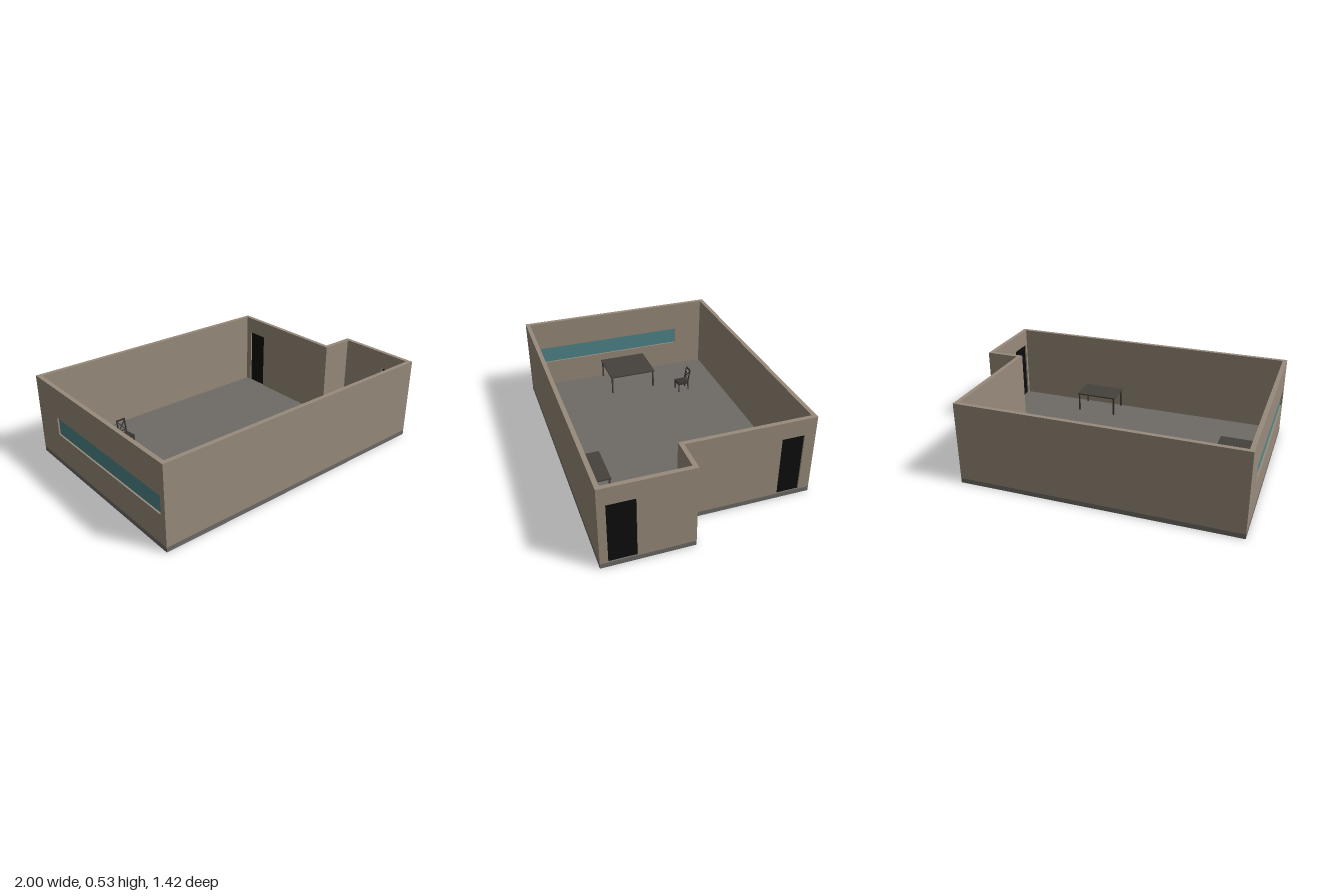
import * as THREE from 'three';

const paint = (color) => new THREE.MeshStandardMaterial({ color, flatShading: true });
const wallMat = paint(0x988b7b), floorMat = paint(0x6e6b67), doorMat = paint(0x0d0d0d);
const glassMat = paint(0x4f878b), tableMat = paint(0x45413b), chairMat = paint(0x37342f);

// Plan dimensions, measured from the rear right corner of the room
const W = 1.95, D = 1.351, NOTCH_X = 1.736, NOTCH_Z = 0.806;
const T = 0.027, FLOOR = 0.03, TOP = 0.53;

function add(parent, name, geometry, material, x = 0, y = 0, z = 0) {
  const mesh = new THREE.Mesh(geometry, material);
  mesh.name = name;
  mesh.position.set(x, y, z);
  parent.add(mesh);
  return mesh;
}

const box = (parent, name, w, h, d, material, x, y, z) =>
  add(parent, name, new THREE.BoxGeometry(w, h, d), material, x, y, z);

// Square bar between two points
function bar(parent, name, a, b, size, material) {
  const from = new THREE.Vector3(...a), to = new THREE.Vector3(...b);
  const mesh = box(parent, name, size, from.distanceTo(to), size, material);
  mesh.position.copy(from).lerp(to, 0.5);
  mesh.quaternion.setFromUnitVectors(new THREE.Vector3(0, 1, 0), to.sub(from).normalize());
  return mesh;
}

// Wall panel from s to e; door is a notch in the base, win a hole
function wallGeometry(s, e, { door, win } = {}) {
  const pts = [[s, FLOOR]];
  if (door) pts.push([door[0], FLOOR], [door[0], door[2]], [door[1], door[2]], [door[1], FLOOR]);
  pts.push([e, FLOOR], [e, TOP], [s, TOP]);
  const shape = new THREE.Shape(pts.map((p) => new THREE.Vector2(...p)));
  if (win) {
    const [a, b, lo, hi] = win;
    shape.holes.push(new THREE.Path([[a, lo], [a, hi], [b, hi], [b, lo]].map((p) => new THREE.Vector2(...p))));
  }
  return new THREE.ExtrudeGeometry(shape, { depth: T, bevelEnabled: false });
}

// Side wall running along z, with its outer or inner face at x
function sideWall(parent, name, x, s, e, openings) {
  add(parent, name, wallGeometry(s, e, openings).rotateY(-Math.PI / 2), wallMat, x);
}

function doorPanel(parent, name, x, [s, e, top]) {
  box(parent, name, 0.008, top - FLOOR, e - s, doorMat, x - T / 2, (top + FLOOR) / 2, (s + e) / 2);
}

function makeTable(name, w, d) {
  const table = new THREE.Group();
  table.name = name;
  const h = 0.133, top = 0.009, leg = 0.01;
  box(table, 'tableTop', w, top, d, tableMat, 0, h - top / 2, 0);
  for (const sx of [-1, 1]) {
    for (const sz of [-1, 1]) {
      box(table, 'tableLeg', leg, h - top, leg, tableMat,
        sx * (w / 2 - leg), (h - top) / 2, sz * (d / 2 - leg));
    }
  }
  return table;
}

function makeChair() {
  const chair = new THREE.Group();
  chair.name = 'chair';
  // Seat, slightly wider at the front
  const seat = new THREE.Shape([[-0.032, 0.035], [-0.038, -0.045], [0.038, -0.045], [0.032, 0.035]]
    .map((p) => new THREE.Vector2(...p)));
  const seatGeo = new THREE.ExtrudeGeometry(seat, { depth: 0.007, bevelEnabled: false }).rotateX(-Math.PI / 2);
  add(chair, 'seat', seatGeo, chairMat, 0, 0.065, 0);
  for (const s of [-1, 1]) {
    bar(chair, 'frontLeg', [s * 0.033, 0, 0.04], [s * 0.033, 0.066, 0.04], 0.007, chairMat);
    bar(chair, 'backLeg', [s * 0.029, 0, -0.036], [s * 0.029, 0.07, -0.033], 0.007, chairMat);
    bar(chair, 'backPost', [s * 0.029, 0.068, -0.033], [s * 0.029, 0.16, -0.049], 0.007, chairMat);
    bar(chair, 'sideRail', [s * 0.033, 0.058, 0.04], [s * 0.029, 0.058, -0.034], 0.006, chairMat);
    // Crossed braces of the backrest
    bar(chair, 'backBrace', [s * 0.027, 0.087, -0.036], [-s * 0.027, 0.148, -0.047], 0.005, chairMat);
  }
  bar(chair, 'topRail', [-0.032, 0.157, -0.0485], [0.032, 0.157, -0.0485], 0.009, chairMat);
  bar(chair, 'lowerRail', [-0.029, 0.086, -0.036], [0.029, 0.086, -0.036], 0.006, chairMat);
  bar(chair, 'frontRail', [-0.033, 0.058, 0.04], [0.033, 0.058, 0.04], 0.006, chairMat);
  return chair;
}

export function createModel() {
  const model = new THREE.Group();
  model.name = 'room';
  const room = new THREE.Group();
  room.name = 'roomInterior';
  room.position.set(-1, 0, -0.645);
  room.rotation.y = 0.0375;
  model.add(room);

  // Floor slab following the stepped plan
  const plan = new THREE.Shape([[0, 0], [NOTCH_X, 0], [NOTCH_X, NOTCH_Z], [W, NOTCH_Z], [W, D], [0, D]]
    .map(([x, z]) => new THREE.Vector2(x, -z)));
  add(room, 'floor', new THREE.ExtrudeGeometry(plan, { depth: FLOOR, bevelEnabled: false }).rotateX(-Math.PI / 2), floorMat);

  // Walls
  const rearDoor = [0.07, 0.212, 0.42], frontDoor = [1.141, 1.304, 0.42];
  const win = [0.23, 1.312, 0.215, 0.33];
  add(room, 'backWall', wallGeometry(0, NOTCH_X), wallMat);
  add(room, 'frontWall', wallGeometry(0, W), wallMat, 0, 0, D - T);
  add(room, 'stepWall', wallGeometry(NOTCH_X, W), wallMat, 0, 0, NOTCH_Z);
  sideWall(room, 'windowWall', T, T, D - T, { win });
  sideWall(room, 'rearDoorWall', NOTCH_X, T, NOTCH_Z + T, { door: rearDoor });
  sideWall(room, 'frontDoorWall', W, NOTCH_Z + T, D - T, { door: frontDoor });

  // Doors and window pane set in the wall thickness
  doorPanel(room, 'rearDoor', NOTCH_X, rearDoor);
  doorPanel(room, 'frontDoor', W, frontDoor);
  box(room, 'windowPane', 0.006, win[3] - win[2], win[1] - win[0], glassMat,
    T / 2, (win[2] + win[3]) / 2, (win[0] + win[1]) / 2);

  // Furniture
  const sideTable = makeTable('windowTable', 0.287, 0.331);
  sideTable.position.set(0.171, FLOOR, 0.657);
  const frontTable = makeTable('frontTable', 0.283, 0.185);
  frontTable.position.set(1.295, FLOOR, 1.231);
  const chair = makeChair();
  chair.position.set(0.417, FLOOR, 0.312);
  chair.rotation.y = 0.07;
  room.add(sideTable, frontTable, chair);
  return model;
}
